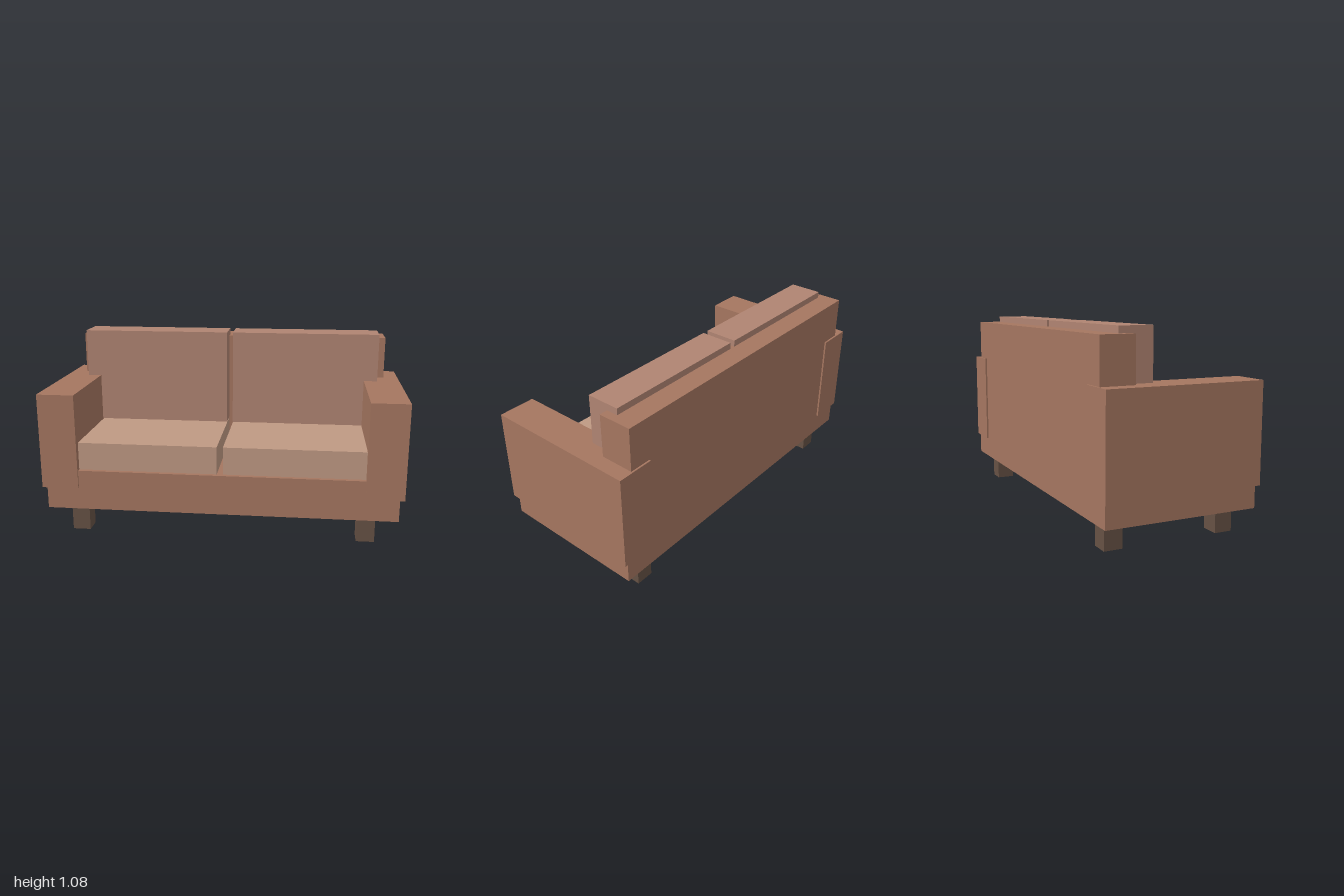
import * as THREE from 'three';

const fabric = new THREE.MeshStandardMaterial({ color: 0xa57660 });
const backFabric = new THREE.MeshStandardMaterial({ color: 0xb08472 });
const seatFabric = new THREE.MeshStandardMaterial({ color: 0xbf9983 });
const wood = new THREE.MeshStandardMaterial({ color: 0x665144 });

// Box given by its lower and upper limits on each axis
function block(name, material, [x0, x1], [y0, y1], [z0, z1]) {
  const mesh = new THREE.Mesh(new THREE.BoxGeometry(x1 - x0, y1 - y0, z1 - z0), material);
  mesh.position.set((x0 + x1) / 2, (y0 + y1) / 2, (z0 + z1) / 2);
  mesh.name = name;
  return mesh;
}

export function createModel() {
  const sofa = new THREE.Group();
  sofa.name = 'sofa';

  // Frame
  sofa.add(block('base', fabric, [-0.975, 0.975], [0.147, 0.372], [-0.423, 0.423]));
  sofa.add(block('backrest', fabric, [-0.917, 0.917], [0.372, 1.042], [-0.423, -0.237]));

  // Each half: armrest, cushions and legs
  for (const [side, s] of [['left', 1], ['right', -1]]) {
    const span = (a, b) => (s > 0 ? [a, b] : [-b, -a]);
    sofa.add(block(side + 'Armrest', fabric, span(0.793, 1), [0.27, 0.804], [-0.433, 0.433]));
    sofa.add(block(side + 'SeatCushion', seatFabric, span(0.017, 0.8), [0.372, 0.527], [-0.237, 0.398]));
    sofa.add(block(side + 'BackCushion', backFabric, span(0.017, 0.87), [0.532, 1.078], [-0.303, -0.118]));
    sofa.add(block(side + 'FrontLeg', wood, span(0.755, 0.855), [0, 0.147], [0.27, 0.37]));
    sofa.add(block(side + 'BackLeg', wood, span(0.755, 0.855), [0, 0.147], [-0.37, -0.27]));
  }
  return sofa;
}
